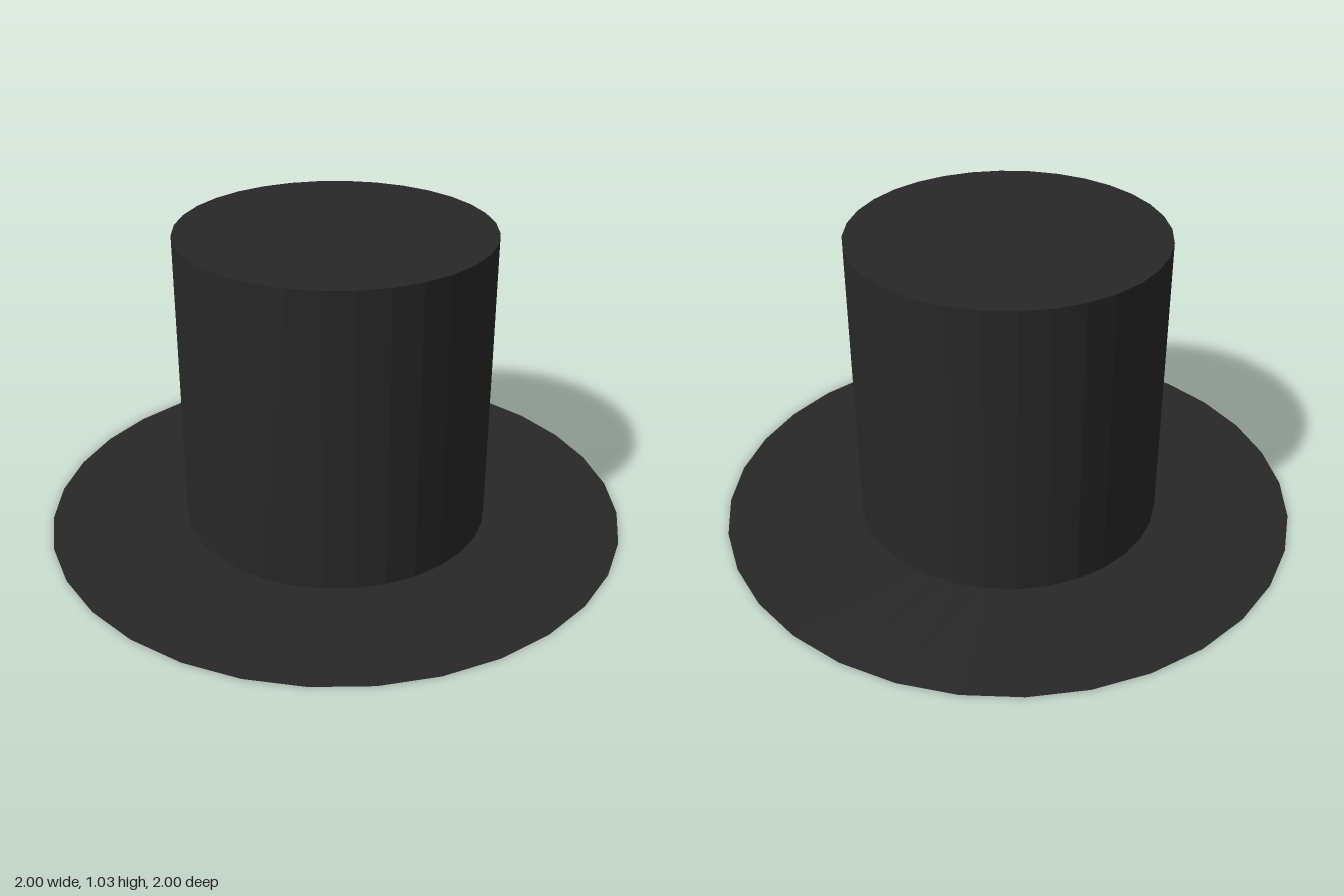
import * as THREE from 'three';

const SIDES = 32;
const CROWN_RADIUS = 0.53;
const CROWN_HEIGHT = 1.03;
const BRIM_RADIUS = 1;

export function createModel() {
  const hat = new THREE.Group();
  hat.name = 'topHat';

  const felt = new THREE.MeshStandardMaterial({
    color: 0x282828,
    flatShading: true,
    side: THREE.DoubleSide,
  });

  function addPart(name, geometry, y) {
    const mesh = new THREE.Mesh(geometry, felt);
    mesh.name = name;
    mesh.position.y = y;
    hat.add(mesh);
    return mesh;
  }

  // Crown wall: a thin tube, open below
  addPart('crownWall', new THREE.CylinderGeometry(
    CROWN_RADIUS, CROWN_RADIUS, CROWN_HEIGHT, SIDES, 1, true), CROWN_HEIGHT / 2);

  // Flat lid closing the crown
  const lid = new THREE.CircleGeometry(CROWN_RADIUS, SIDES).rotateX(-Math.PI / 2);
  addPart('crownTop', lid, CROWN_HEIGHT);

  // Paper-thin flat brim around the opening
  const brim = new THREE.RingGeometry(CROWN_RADIUS, BRIM_RADIUS, SIDES).rotateX(-Math.PI / 2);
  addPart('brim', brim, 0);

  return hat;
}
